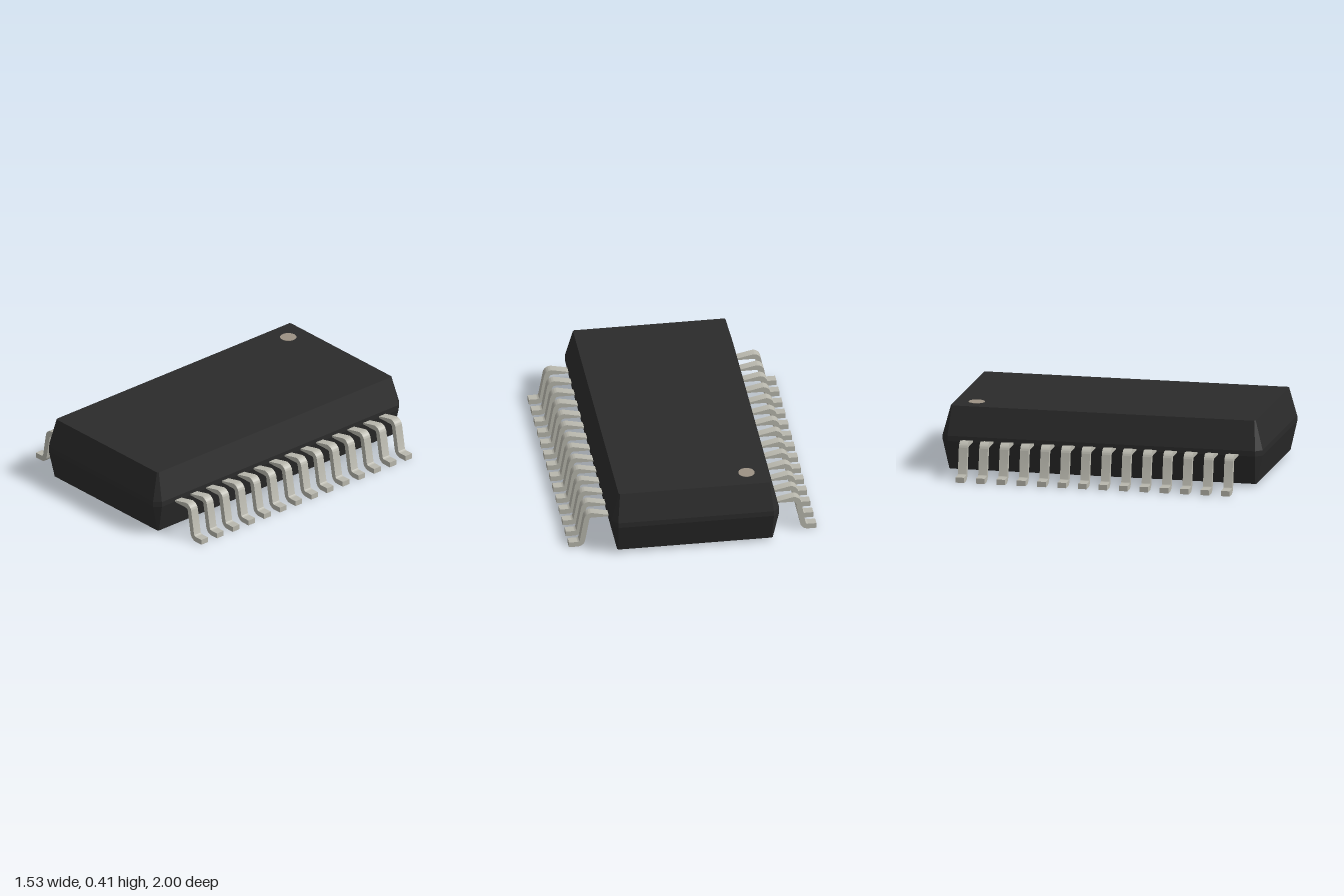
import * as THREE from 'three';
import { toCreasedNormals } from 'three/addons/utils/BufferGeometryUtils.js';
import { ConvexGeometry } from 'three/addons/geometries/ConvexGeometry.js';

const paint = (color) => new THREE.MeshStandardMaterial({ color });

// Rectangle with cut corners at height y
function ring(y, hx, hz, cut) {
  const points = [];
  for (const sx of [-1, 1]) for (const sz of [-1, 1]) {
    points.push(new THREE.Vector3(sx * (hx - cut), y, sz * hz));
    points.push(new THREE.Vector3(sx * hx, y, sz * (hz - cut)));
  }
  return points;
}

// Side outline of one gull-wing pin: shoulder, slanted shin and foot
function pinGeometry(width) {
  const t = 0.033, r = 0.032, top = 0.233;
  const turn = THREE.MathUtils.degToRad(80);
  const inner = r - t / 2, outer = r + t / 2;
  const kneeX = 0.622, kneeY = top - outer;
  const ankleX = 0.711, ankleY = outer;
  const up = Math.PI / 2;
  const s = new THREE.Shape();
  s.moveTo(0.47, top);
  s.absarc(kneeX, kneeY, outer, up, up - turn, true);
  s.absarc(ankleX, ankleY, inner, -up - turn, -up, false);
  s.lineTo(0.763, t);
  s.lineTo(0.763, 0);
  s.absarc(ankleX, ankleY, outer, -up, -up - turn, true);
  s.absarc(kneeX, kneeY, inner, up - turn, up, false);
  s.lineTo(0.47, top - t);
  s.closePath();
  const geo = new THREE.ExtrudeGeometry(s, { depth: width, bevelEnabled: false, curveSegments: 8 });
  geo.translate(0, 0, -width / 2);
  return toCreasedNormals(geo, 0.5);
}

export function createModel() {
  const model = new THREE.Group();
  model.name = 'chipPackage';

  // Moulded body: tapers up and down from a narrow upright band
  const body = new THREE.Mesh(new ConvexGeometry([
    ...ring(0.02, 0.48, 0.96, 0.008),
    ...ring(0.2, 0.518, 1, 0.038),
    ...ring(0.233, 0.518, 1, 0.038),
    ...ring(0.413, 0.47, 0.953, 0.008),
  ]), paint(0x2b2b2b));
  body.name = 'body';
  model.add(body);

  // Round marker beside the first pin
  const marker = new THREE.Mesh(new THREE.CylinderGeometry(0.05, 0.05, 0.01, 40), paint(0x9c9284));
  marker.name = 'pinOneMarker';
  marker.position.set(-0.337, 0.41, -0.82);
  model.add(marker);

  // Fourteen pins along each long side
  const count = 14, pitch = 0.1277;
  const geo = pinGeometry(0.054);
  const metal = paint(0xb8b7ad);
  for (const side of ['left', 'right']) {
    const row = new THREE.Group();
    row.name = side + 'Pins';
    for (let i = 0; i < count; i++) {
      const pin = new THREE.Mesh(geo, metal);
      pin.name = 'pin';
      pin.position.z = (i - (count - 1) / 2) * pitch;
      row.add(pin);
    }
    if (side === 'right') row.rotation.y = Math.PI;
    model.add(row);
  }
  return model;
}
